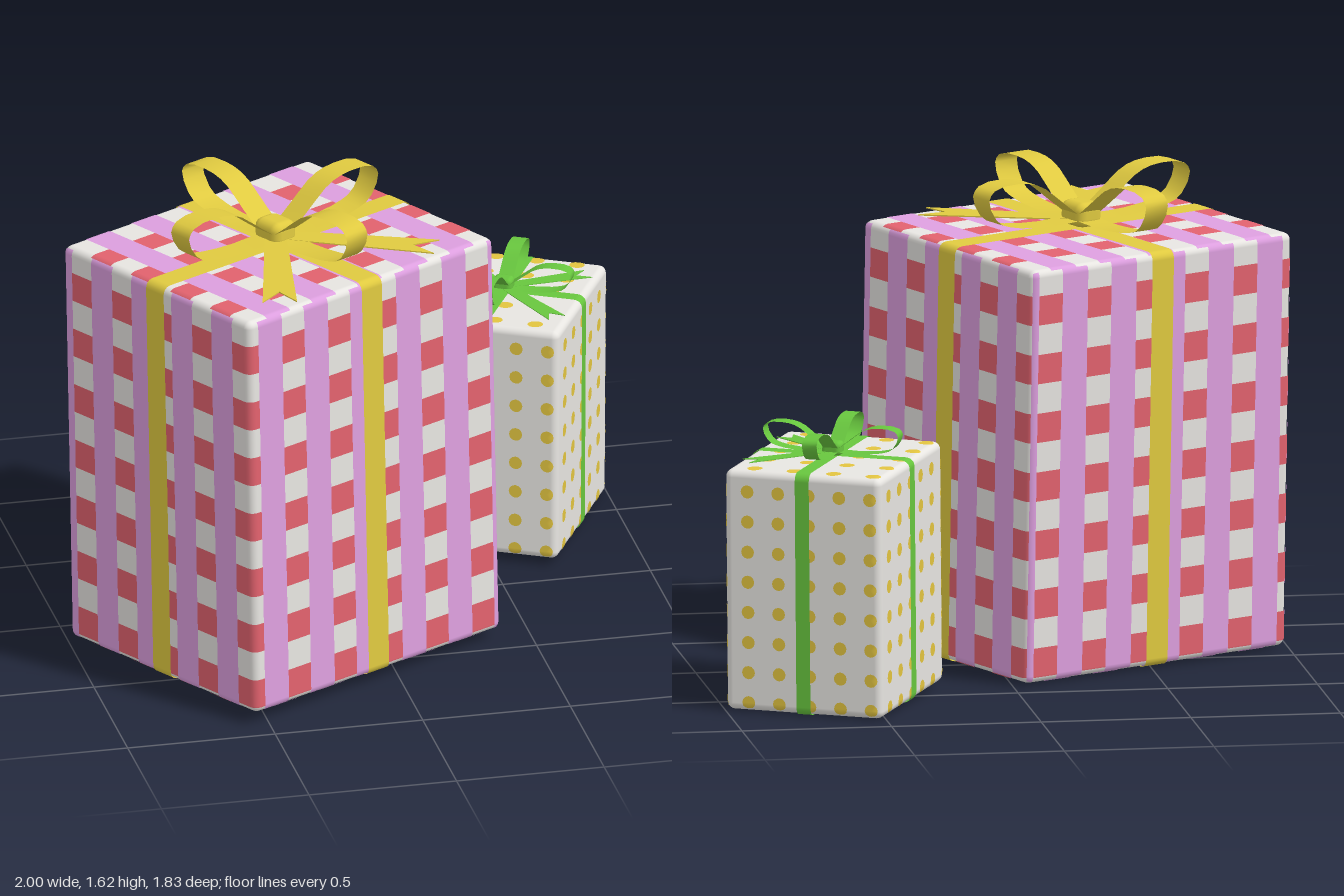
import * as THREE from 'three';
import { mergeGeometries } from 'three/addons/utils/BufferGeometryUtils.js';
import { RoundedBoxGeometry } from 'three/addons/geometries/RoundedBoxGeometry.js';

const HALF = Math.PI / 2;
const BEVEL = 0.025;
const { clamp } = THREE.MathUtils;

function material(name, color, side = THREE.FrontSide) {
  const m = new THREE.MeshStandardMaterial({ color, side });
  m.name = name;
  return m;
}

function addMesh(parent, name, geometry, mat) {
  const mesh = new THREE.Mesh(geometry, mat);
  mesh.name = name;
  parent.add(mesh);
  return mesh;
}

// The six faces of a box: size, and a rotation taking a flat drawing (z outward) onto the face.
function boxFaces(w, h, d) {
  const face = (key, fw, fh, out, rx, ry) => ({
    key, w: fw, h: fh, out,
    matrix: new THREE.Matrix4().makeRotationFromEuler(new THREE.Euler(rx, ry, 0)),
  });
  return [
    face('front', w, h, d / 2, 0, 0),
    face('back', w, h, d / 2, 0, Math.PI),
    face('right', d, h, w / 2, 0, HALF),
    face('left', d, h, w / 2, 0, -HALF),
    face('top', w, d, h / 2, -HALF, 0),
    face('bottom', w, d, h / 2, HALF, 0),
  ];
}

// Lays a flat drawing on a face, following the rounded edges.
function layOn(face, geometry, proud) {
  const pos = geometry.attributes.position, normal = geometry.attributes.normal;
  const ix = face.w / 2 - BEVEL, iy = face.h / 2 - BEVEL;
  for (let i = 0; i < pos.count; i++) {
    const x = clamp(pos.getX(i), -face.w / 2, face.w / 2);
    const y = clamp(pos.getY(i), -face.h / 2, face.h / 2);
    const inner = new THREE.Vector3(clamp(x, -ix, ix), clamp(y, -iy, iy), face.out - BEVEL);
    const dir = new THREE.Vector3(x, y, face.out).sub(inner).normalize();
    inner.addScaledVector(dir, BEVEL + proud);
    pos.setXYZ(i, inner.x, inner.y, inner.z);
    normal.setXYZ(i, dir.x, dir.y, dir.z);
  }
  return geometry.applyMatrix4(face.matrix);
}

// Ends of a span, plus the places where the rounding bends it.
function bends(a, b, half) {
  const inside = [1, 0.6, 0.3].flatMap((t) => [half - t * BEVEL, t * BEVEL - half])
    .filter((v) => v > a + 1e-4 && v < b - 1e-4);
  return [a, b, ...inside].sort((p, q) => p - q);
}

// Thin rectangle of colour on a face, given by its edges.
function plate(face, x0, x1, y0, y1, proud = 0.002) {
  const xs = bends(x0, x1, face.w / 2), ys = bends(y0, y1, face.h / 2).reverse();
  const g = new THREE.PlaneGeometry(1, 1, xs.length - 1, ys.length - 1);
  const pos = g.attributes.position;
  for (let i = 0; i < pos.count; i++) {
    pos.setXY(i, xs[i % xs.length], ys[Math.floor(i / xs.length)]);
  }
  return layOn(face, g, proud);
}

// Crossed ribbon round all six faces.
function wrapRibbon(faces, width) {
  const parts = [];
  for (const f of faces) {
    parts.push(plate(f, -width / 2, width / 2, -f.h / 2, f.h / 2, 0.004));
    if (f.key === 'top' || f.key === 'bottom') {
      parts.push(plate(f, -f.w / 2, f.w / 2, -width / 2, width / 2, 0.004));
    }
  }
  return mergeGeometries(parts);
}

// Flat strip of ribbon following a curve in the xy plane.
function strip(points, width, steps) {
  const curve = new THREE.CatmullRomCurve3(points.map(([x, y]) => new THREE.Vector3(x, y, 0)));
  const g = new THREE.PlaneGeometry(width, 1, 1, steps);
  const pos = g.attributes.position;
  for (let i = 0; i < pos.count; i++) {
    const p = curve.getPoint(Math.floor(i / 2) / steps);
    pos.setXYZ(i, p.x, p.y, pos.getX(i));
  }
  g.computeVertexNormals();
  return g;
}

// Bow: four loops, two notched tails and a knot.
function makeBow(mat) {
  const bow = new THREE.Group();
  bow.name = 'bow';
  const loop = strip([[0.02, 0.03], [0.16, 0.025], [0.31, 0.04], [0.375, 0.065], [0.415, 0.14],
    [0.39, 0.175], [0.28, 0.185], [0.2, 0.165], [0.11, 0.1], [0.03, 0.04]], 0.09, 20);
  for (let i = 0; i < 4; i++) {
    addMesh(bow, 'bowLoop', loop, mat).rotation.y = i * HALF;
  }
  const outline = new THREE.Shape([[0, -0.035], [0.54, -0.057], [0.46, 0], [0.54, 0.057], [0, 0.035]]
    .map(([x, y]) => new THREE.Vector2(x, y)));
  const tail = new THREE.ExtrudeGeometry(outline, { depth: 0.004, bevelEnabled: false });
  tail.rotateX(-HALF);
  tail.rotateZ(-0.03);
  tail.translate(0, 0.026, 0);
  for (const side of [-1, 1]) {
    addMesh(bow, 'bowTail', tail, mat).rotation.y = -HALF + side * 0.69;
  }
  addMesh(bow, 'bowKnot', new RoundedBoxGeometry(0.1, 0.085, 0.12, 2, 0.03), mat).position.y = 0.045;
  return bow;
}

// Large box with vertical stripes crossed by rows of squares.
function makeLargeGift(mats) {
  const [w, h, d] = [1.075, 1.398, 0.932];
  const gift = new THREE.Group();
  gift.name = 'largeGift';
  const faces = boxFaces(w, h, d);
  const stripeStart = { front: 0.041, back: 0.125, right: -0.058, left: -0.058, top: 0.085, bottom: 0.085 };
  const stripes = [], squares = [];
  for (const f of faces) {
    const toX = (s) => clamp(s, 0, f.w) - f.w / 2;
    const rowStart = f.h === h ? 0.085 : 0.135;
    for (let s = stripeStart[f.key] - 0.201; s < f.w; s += 0.201) {
      const a = toX(s), b = toX(s + 0.104), c = toX(s + 0.201);
      if (b > a) stripes.push(plate(f, a, b, -f.h / 2, f.h / 2));
      if (c <= b) continue;
      for (let r = rowStart; r < f.h - 0.03; r += 0.199) {
        const top = f.h / 2 - r;
        squares.push(plate(f, b, c, Math.max(top - 0.099, -f.h / 2), top));
      }
    }
  }
  addMesh(gift, 'largeBox', new RoundedBoxGeometry(w, h, d, 3, BEVEL), mats.paper);
  addMesh(gift, 'pinkStripes', mergeGeometries(stripes), mats.pink);
  addMesh(gift, 'redSquares', mergeGeometries(squares), mats.red);
  addMesh(gift, 'yellowRibbon', wrapRibbon(faces, 0.088), mats.yellow);
  const bow = makeBow(mats.yellow);
  bow.position.set(-0.012, h / 2, 0);
  gift.add(bow);
  gift.position.set(-0.303, 0.724, 0.24);
  gift.rotation.set(-0.031, 0.492, 0.011, 'XZY');
  return gift;
}

// Small box with a grid of dots, wider spaced on the top and bottom.
function makeSmallGift(mats) {
  const [w, h, d] = [0.545, 0.812, 0.622];
  const gift = new THREE.Group();
  gift.name = 'smallGift';
  const faces = boxFaces(w, h, d);
  const dots = [];
  for (const f of faces) {
    const upright = f.h === h;
    const radius = upright ? 0.0225 : 0.026;
    const startX = f.w === d ? -0.232 : upright ? -0.192 : -0.235;
    const stepX = upright ? 0.107 : 0.138;
    const startY = upright ? h / 2 - 0.07 : 0.27;
    const stepY = upright ? 0.102 : 0.132;
    for (let x = startX; x < f.w / 2; x += stepX) {
      for (let y = startY; y > 0.02 - f.h / 2; y -= stepY) {
        const dot = new THREE.CircleGeometry(radius, 12).translate(x, y, 0);
        dots.push(layOn(f, dot, 0.002));
      }
    }
  }
  addMesh(gift, 'smallBox', new RoundedBoxGeometry(w, h, d, 3, BEVEL), mats.paper);
  addMesh(gift, 'dots', mergeGeometries(dots), mats.dot);
  addMesh(gift, 'greenRibbon', wrapRibbon(faces, 0.049), mats.green);
  const bow = makeBow(mats.green);
  bow.scale.setScalar(0.57);
  bow.position.y = h / 2;
  bow.rotation.y = HALF;
  gift.add(bow);
  gift.position.set(0.617, 0.419, -0.512);
  gift.rotation.set(-0.027, -0.49, -0.012, 'XZY');
  return gift;
}

export function createModel() {
  const mats = {
    paper: material('whitePaper', 0xe8e6e2),
    pink: material('pinkPaper', 0xdd9fdf),
    red: material('redPaper', 0xe2626e),
    yellow: material('yellowRibbon', 0xe0ca40, THREE.DoubleSide),
    green: material('greenRibbon', 0x68c63e, THREE.DoubleSide),
    dot: material('yellowDots', 0xe2c440),
  };
  const model = new THREE.Group();
  model.name = 'giftBoxes';
  model.add(makeLargeGift(mats), makeSmallGift(mats));
  return model;
}
